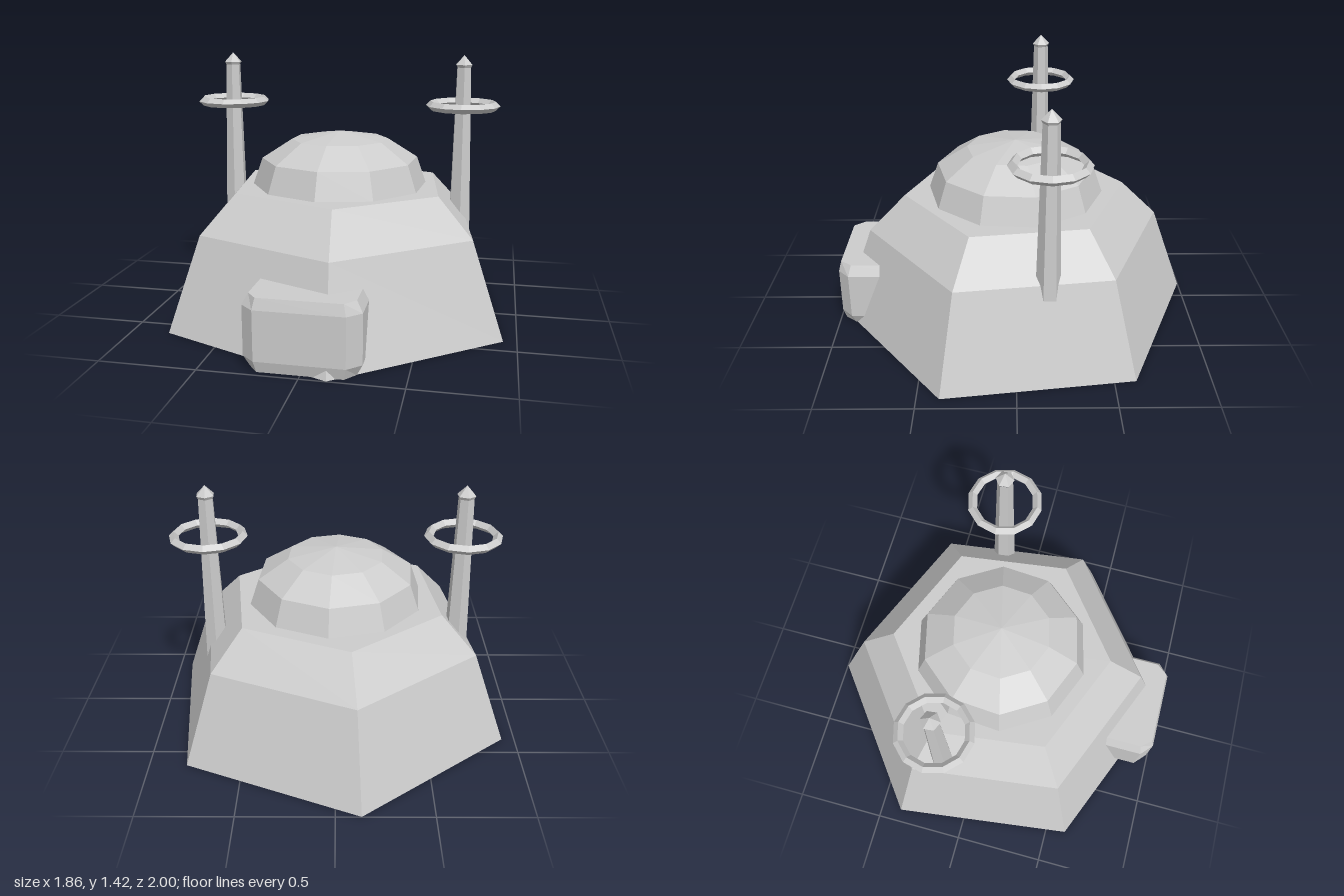
import * as THREE from 'three';

const deg = THREE.MathUtils.degToRad;

// Faceted normals: every face keeps its own corners
function facet(geometry) {
  const g = geometry.index ? geometry.toNonIndexed() : geometry;
  g.computeVertexNormals();
  return g;
}

// Faceted solid of revolution; profile is [radius, y] from bottom to top
function turned(profile, sides, turn) {
  const points = profile.map(([r, y]) => new THREE.Vector2(r, y));
  return facet(new THREE.LatheGeometry(points, sides, deg(turn)));
}

// Closed solid through equal-length rings of [x, y, z], listed bottom to top
function loft(rings) {
  const n = rings[0].length;
  const index = [];
  for (let k = 0; k < rings.length - 1; k++) {
    for (let i = 0; i < n; i++) {
      const a = k * n + i, b = k * n + (i + 1) % n;
      index.push(a, b, a + n, b, b + n, a + n);
    }
  }
  const top = (rings.length - 1) * n;
  for (let i = 1; i < n - 1; i++) {
    index.push(0, i + 1, i, top, top + i, top + i + 1);
  }
  const g = new THREE.BufferGeometry();
  g.setAttribute('position', new THREE.Float32BufferAttribute(rings.flat(2), 3));
  g.setIndex(index);
  return facet(g);
}

export function createModel() {
  const model = new THREE.Group();
  model.name = 'domedOutpost';
  const grey = new THREE.MeshStandardMaterial({ color: 0xcccccc });
  grey.name = 'light grey';

  const add = (parent, name, geometry) => {
    const mesh = new THREE.Mesh(geometry, grey);
    mesh.name = name;
    parent.add(mesh);
    return mesh;
  };

  // Six-sided base with a steeper lower wall and a flat roof
  add(model, 'base', turned(
    [[0, 0], [1.007, 0], [0.82, 0.51], [0.616, 0.715], [0, 0.715]], 6, 7.5));

  // Ten-sided dome on the roof
  add(model, 'dome', turned(
    [[0.485, 0.71], [0.432, 0.86], [0.266, 0.966], [0, 1.01]], 10, -4.4));

  // Entrance block with chamfered corners, drawn in at top and bottom
  const doorRing = (y, inset) => {
    const w = 0.29 - inset, c = 0.222 - inset * 0.4, f = 0.985 - inset * 0.5;
    return [[c, y, f], [w, y, f - 0.062], [w, y, 0.5],
      [-w, y, 0.5], [-w, y, f - 0.062], [-c, y, f]];
  };
  add(model, 'entrance', loft([
    doorRing(0.002, 0.03), doorRing(0.06, 0), doorRing(0.315, 0), doorRing(0.372, 0.03)]));

  // A mast with a floating ring on each side
  for (const [side, name] of [[1, 'leftMast'], [-1, 'rightMast']]) {
    const mast = new THREE.Group();
    mast.name = name;
    mast.position.set(side * 0.663, 0, -0.16);
    model.add(mast);
    add(mast, 'shaft', turned([[0.066, 0.4], [0.042, 1.355]], 6, 6));
    add(mast, 'tip', turned([[0, 1.35], [0.038, 1.35], [0.05, 1.37], [0, 1.422]], 6, 6));
    const ring = new THREE.TorusGeometry(0.18, 0.025, 4, 12).rotateX(Math.PI / 2);
    add(mast, 'ring', facet(ring)).position.y = 1.145;
  }

  return model;
}
